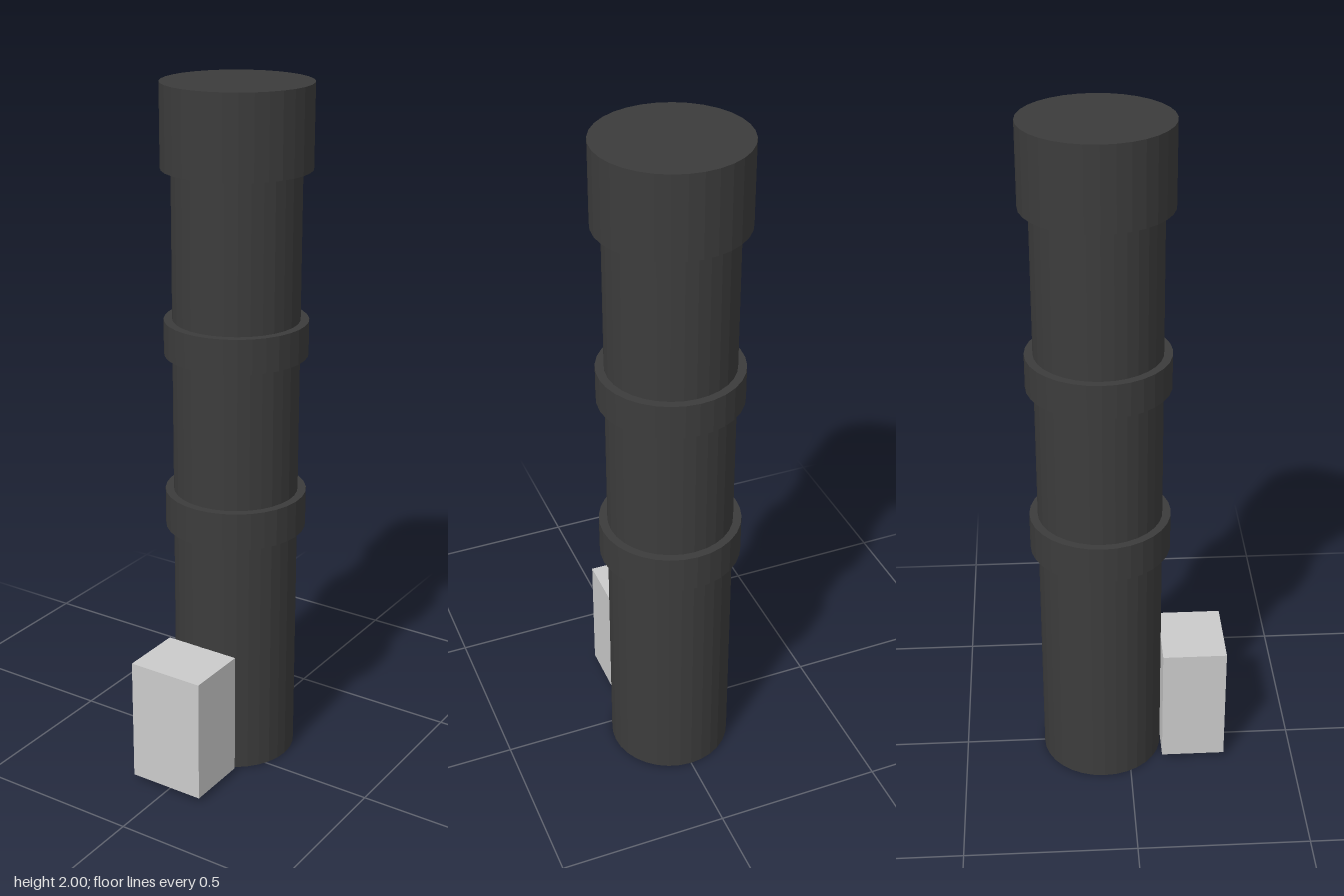
import * as THREE from 'three';

const AXIS_Z = -0.08;

export function createModel() {
  const group = new THREE.Group();
  const dark = new THREE.MeshStandardMaterial({ color: 0x3c3c3c, flatShading: true });
  const grey = new THREE.MeshStandardMaterial({ color: 0xcccccc });

  // Upright cylinder between two heights on the shared axis
  const drum = (name, radius, bottom, top) => {
    const mesh = new THREE.Mesh(new THREE.CylinderGeometry(radius, radius, top - bottom, 32), dark);
    mesh.name = name;
    mesh.position.set(0, (bottom + top) / 2, AXIS_Z);
    group.add(mesh);
  };

  // Column with two bands and a wider cap
  drum('column', 0.18, 0, 1.8);
  drum('lowerBand', 0.204, 0.725, 0.835);
  drum('upperBand', 0.204, 1.245, 1.345);
  drum('cap', 0.209, 1.768, 2);

  // Block against the foot of the column
  const block = new THREE.Mesh(new THREE.BoxGeometry(0.23, 0.37, 0.19), grey);
  block.name = 'frontBlock';
  block.position.set(0, 0.202, 0.194);
  group.add(block);

  return group;
}
